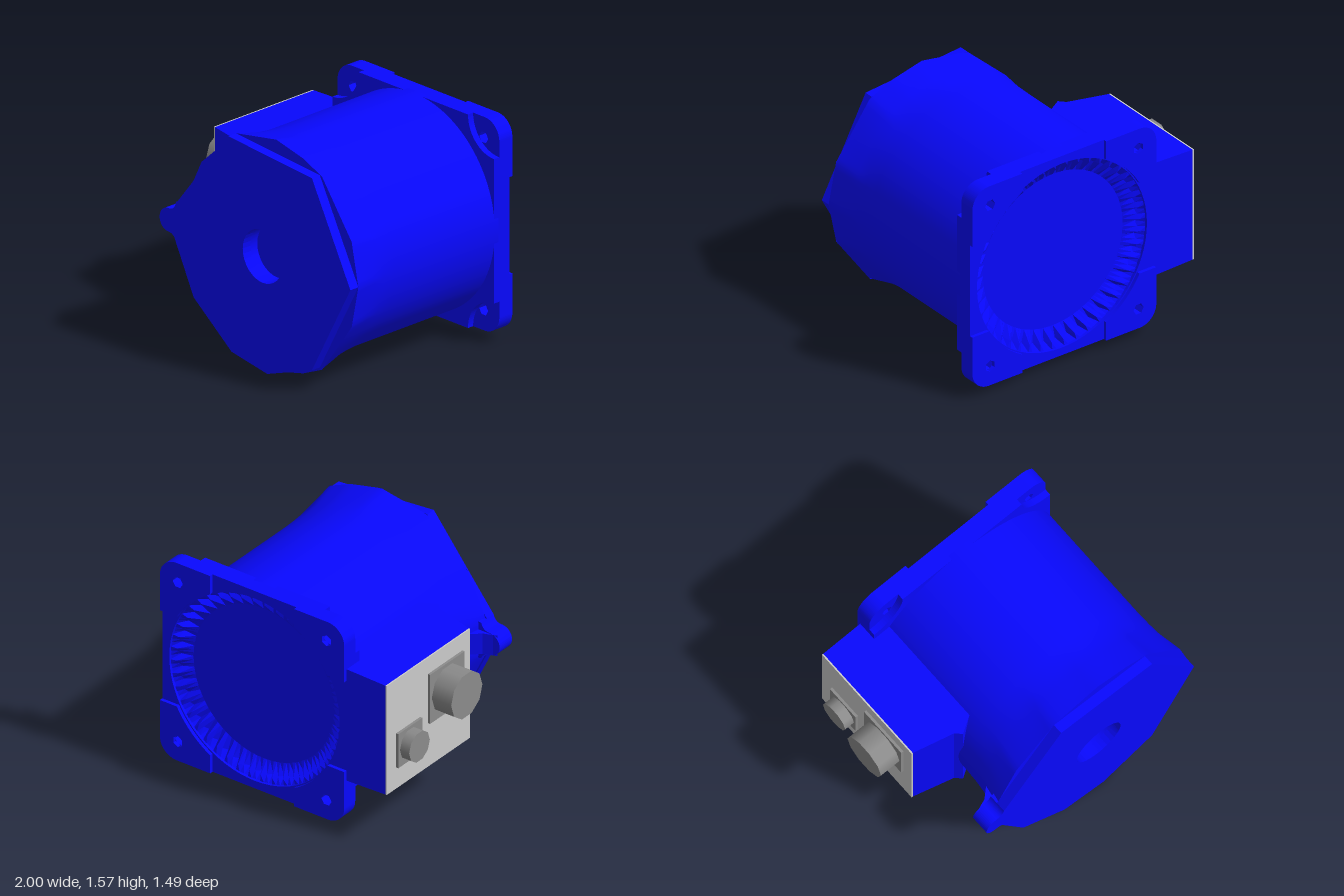
import * as THREE from 'three';

const CX = 0.21, CY = 0.787;            // motor axis
const blue = new THREE.MeshStandardMaterial({ color: 0x0808ff, side: THREE.DoubleSide });
const grey = new THREE.MeshStandardMaterial({ color: 0xcccccc });
const darkGrey = new THREE.MeshStandardMaterial({ color: 0x8c8c8c });

const add = (group, name, geo, mat = blue, x = 0, y = 0, z = 0) => {
  const m = new THREE.Mesh(geo, mat);
  m.name = name;
  m.position.set(x, y, z);
  group.add(m);
  return m;
};
const shapeOf = pts => new THREE.Shape(pts.map(p => new THREE.Vector2(p[0], p[1])));
const extrude = (shape, depth) =>
  new THREE.ExtrudeGeometry(shape, { depth, bevelEnabled: false, curveSegments: 10 });
const circle = (x, y, r, n) => {
  const p = new THREE.Path();
  p.setFromPoints(Array.from({ length: n + 1 }, (_, i) => {
    const a = -i / n * Math.PI * 2;
    return new THREE.Vector2(x + r * Math.cos(a), y + r * Math.sin(a));
  }));
  return p;
};

// Rings of points joined into a smooth skin; pt(i, j) gives point i of ring j
function loft(n, rings, pt) {
  const pos = [], idx = [];
  for (let j = 0; j < rings; j++) for (let i = 0; i < n; i++) pos.push(...pt(i, j));
  for (let j = 0; j < rings - 1; j++) for (let i = 0; i < n; i++) {
    const k = (i + 1) % n, a = j * n + i, b = j * n + k, c = a + n, d = b + n;
    idx.push(a, b, d, a, d, c);
  }
  const g = new THREE.BufferGeometry();
  g.setAttribute('position', new THREE.Float32BufferAttribute(pos, 3));
  g.setIndex(idx);
  g.computeVertexNormals();
  return g;
}

// Upper half of the faceted flare, around the axis, mirrored below
const upper = [[0.785, 0], [0.725, 0.29], [0.46, 0.655], [0.29, 0.73], [0.05, 0.787],
  [-0.31, 0.725], [-0.62, 0.44], [-0.77, 0.13]];
const flare = [...upper, ...upper.slice(1).reverse().map(([x, y]) => [x, -y])];

// Distance from the axis to a polygon along an angle
function polyRadius(poly, a) {
  const c = Math.cos(a), s = Math.sin(a);
  for (let i = 0; i < poly.length; i++) {
    const [x1, y1] = poly[i], [x2, y2] = poly[(i + 1) % poly.length];
    const ex = x2 - x1, ey = y2 - y1, den = c * ey - s * ex;
    if (Math.abs(den) < 1e-9) continue;
    const r = (x1 * ey - y1 * ex) / den, t = (x1 * s - y1 * c) / den;
    if (r > 0 && t >= -1e-6 && t <= 1 + 1e-6) return r;
  }
  return 0.73;
}

function addHousing(g) {
  // Round barrel opening into a faceted flare: [z, share of flare]
  const N = 120;
  const stations = [[-0.62, 0], [-0.2, 0], [0.3, 0], [0.4, 0.1], [0.49, 0.28], [0.67, 1]];
  add(g, 'barrel', loft(N, stations.length, (i, j) => {
    const a = i / N * Math.PI * 2, [z, f] = stations[j];
    const r = 0.73 + (polyRadius(flare, a) - 0.73) * f;
    return [r * Math.cos(a), r * Math.sin(a), z];
  }), blue, CX, CY);

  // Rear step of the flare, with the shaft bore left open
  const ring = shapeOf(flare);
  ring.holes.push(circle(0, 0, 0.18, 32));
  add(g, 'flareFace', new THREE.ShapeGeometry(ring), blue, CX, CY, 0.67);

  // Coarser front plate
  const plate = shapeOf([[0.785, 0], [0.44, 0.66], [-0.31, 0.725], [-0.78, 0.13],
    [-0.78, -0.13], [-0.62, -0.46], [-0.28, -0.73], [0.04, -0.787], [0.44, -0.645]]);
  plate.holes.push(circle(0, 0, 0.18, 32));
  add(g, 'frontPlate', extrude(plate, 0.07), blue, CX, CY, 0.67);

  // Blind shaft bore
  const bore = new THREE.CylinderGeometry(0.18, 0.18, 0.13, 32, 1, true).rotateX(Math.PI / 2);
  add(g, 'shaftBore', bore, blue, CX, CY, 0.675);
  add(g, 'boreFloor', new THREE.CircleGeometry(0.18, 32), blue, CX, CY, 0.612);

  // Side lug with flared neck and a sloping root behind it
  const lug = new THREE.Shape();
  lug.moveTo(-0.5, 0.14);
  lug.lineTo(-0.57, 0.13);
  lug.quadraticCurveTo(-0.585, 0.08, -0.63, 0.08);
  lug.absarc(-0.635, 0, 0.08, Math.PI / 2, Math.PI * 1.5, false);
  lug.quadraticCurveTo(-0.585, -0.08, -0.57, -0.13);
  lug.lineTo(-0.5, -0.14);
  add(g, 'sideLug', extrude(lug, 0.13), blue, 0, CY, 0.61);
  const root = shapeOf([[-0.69, -0.62], [-0.6, -0.585], [-0.53, -0.52], [-0.45, -0.52], [-0.45, -0.62]]);
  add(g, 'lugRoot', extrude(root, 0.15).rotateX(-Math.PI / 2), blue, 0, CY - 0.075);
}

function addRearFlange(g) {
  const flange = new THREE.Group();
  flange.name = 'rearFlange';
  flange.position.set(CX, CY, 0);
  g.add(flange);
  const H = 0.725, R = 0.13, B = 0.585;

  // Square plate with rounded corners, four bolt holes and a round recess
  const s = new THREE.Shape();
  // Web in front of it, scooped out around the bolts
  const web = new THREE.Shape();
  for (let q = 0; q < 4; q++) {
    const a = q * Math.PI / 2, c = Math.cos(a + Math.PI / 4) * Math.SQRT2, d = Math.sin(a + Math.PI / 4) * Math.SQRT2;
    s.absarc(c * (H - R), d * (H - R), R, a, a + Math.PI / 2, false);
    s.holes.push(circle(c * B, d * B, 0.04, 6));
    web.absarc(c * H, d * H, 0.235, a - Math.PI / 2, a - Math.PI, true);
  }
  s.closePath();
  web.closePath();
  s.holes.push(circle(0, 0, 0.67, 72));
  web.holes.push(circle(0, 0, 0.67, 72));
  for (const y of [-0.678, 0.678]) s.holes.push(circle(0.48, y, 0.016, 4));
  add(flange, 'flangePlate', extrude(s, 0.09), blue, 0, 0, -0.72);
  add(flange, 'flangeWeb', extrude(web, 0.045), blue, 0, 0, -0.63);

  // Raised corner pads, cut away by the recess
  const pad = new THREE.Shape();
  const inner = Math.atan2(0.33, 0.592);
  pad.moveTo(0.592, 0.33);
  pad.lineTo(H, 0.33);
  pad.absarc(H - R, H - R, R, 0, Math.PI / 2, false);
  pad.lineTo(0.33, H);
  pad.lineTo(0.33, 0.592);
  pad.absarc(0, 0, 0.678, Math.PI / 2 - inner, inner, true);
  pad.holes.push(circle(B, B, 0.04, 6));
  const padGeo = extrude(pad, 0.025);
  for (let q = 0; q < 4; q++)
    add(flange, 'cornerPad', padGeo, blue, 0, 0, -0.745).rotation.z = q * Math.PI / 2;

  // Ring of sawtooth ribs sloping down to the recessed end disc
  const n = 132;
  const ribs = loft(n, 3, (i, j) => {
    const a = i / n * Math.PI * 2, rise = (i % 3) / 2;
    const r = [0.675, 0.63, 0.55][j];
    const z = [-0.705, -0.645 - 0.05 * rise, -0.625][j];
    return [r * Math.cos(a), r * Math.sin(a), z];
  }).toNonIndexed();
  ribs.computeVertexNormals();
  add(flange, 'coolingRibs', ribs);
  add(flange, 'endDisc', new THREE.CircleGeometry(0.56, 64).rotateY(Math.PI), blue, 0, 0, -0.625);
}

function addTerminalBox(g) {
  const box = new THREE.Group();
  box.name = 'terminalBox';
  g.add(box);
  // Plan outline as [x, -z], raised along y
  const plan = shapeOf([[-0.82, 0.72], [-0.82, -0.15], [-0.54, -0.22], [-0.5, -0.26],
    [-0.34, -0.16], [-0.34, 0.61], [-0.49, 0.61], [-0.49, 0.72]]);
  const geo = extrude(plan, 0.8).rotateX(-Math.PI / 2);
  // Slight draft: wider towards the barrel
  const p = geo.attributes.position;
  for (let i = 0; i < p.count; i++) {
    const k = 1 + 0.03 * (p.getX(i) + 0.82) / 0.4;
    p.setY(i, (p.getY(i) - 0.4) * k);
  }
  geo.computeVertexNormals();
  add(box, 'boxBody', geo, blue, 0, 0.792);
  add(box, 'boxCover', new THREE.BoxGeometry(0.01, 0.8, 0.87), grey, -0.825, 0.792, -0.285);

  // Two round connectors on square bases: [y, z, radius, outer x, base size]
  for (const [y, z, r, x, size] of [[0.893, -0.11, 0.163, -1, 0.36], [0.673, -0.497, 0.108, -0.92, 0.25]]) {
    add(box, 'connectorBase', new THREE.BoxGeometry(0.02, size, size), darkGrey, -0.838, y, z);
    const len = -0.83 - x;
    add(box, 'connector', new THREE.CylinderGeometry(r, r, len, 10).rotateZ(Math.PI / 2), darkGrey, x + len / 2, y, z);
  }
}

export function createModel() {
  const g = new THREE.Group();
  g.name = 'motor';
  addHousing(g);
  addRearFlange(g);
  addTerminalBox(g);
  return g;
}
